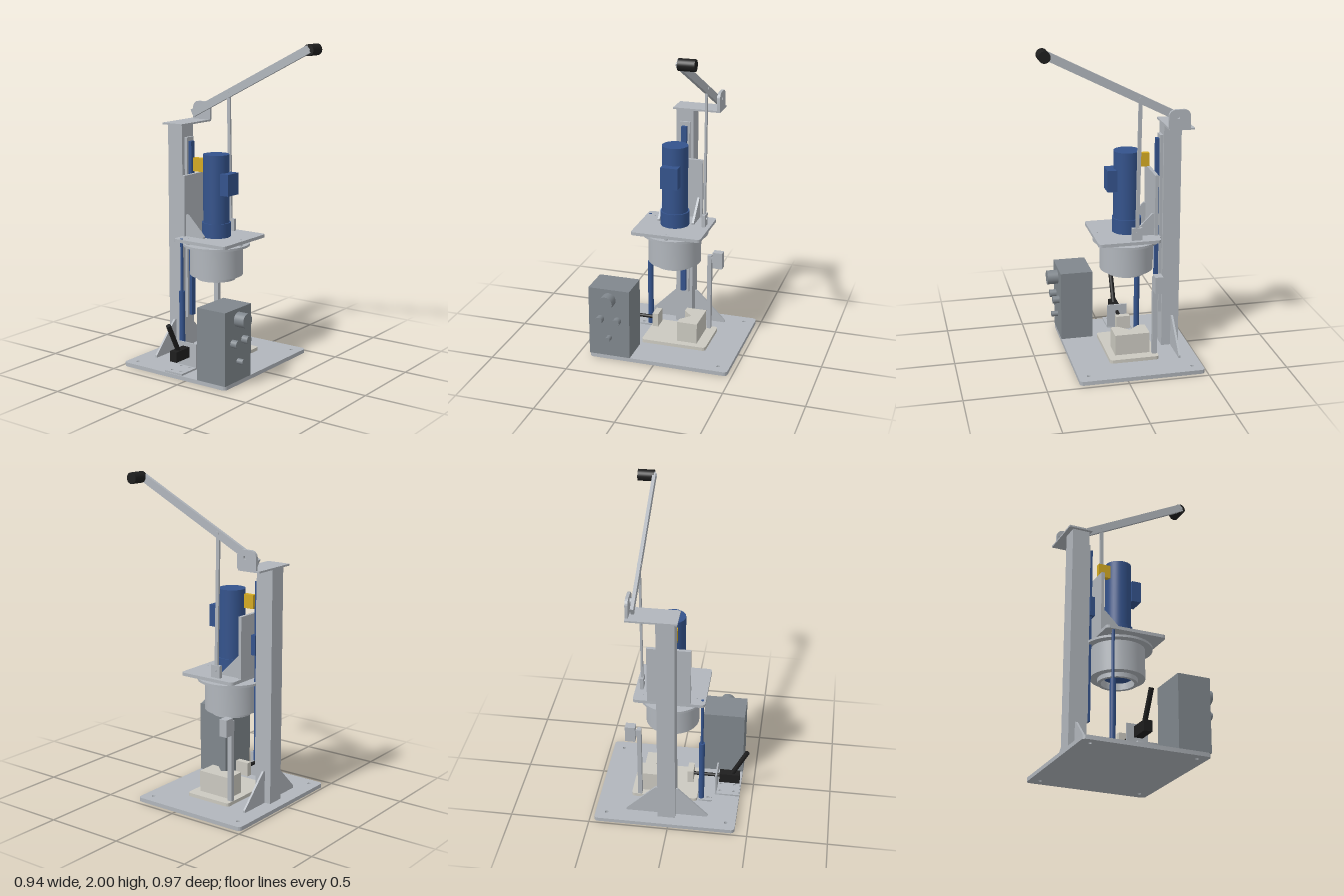
import * as THREE from 'three';
import { toCreasedNormals } from 'three/addons/utils/BufferGeometryUtils.js';

const mat = (name, color) => {
  const m = new THREE.MeshStandardMaterial({ color });
  m.name = name;
  return m;
};

export function createModel() {
  const steel = mat('steel grey', 0xb1b6bc), dark = mat('enclosure grey', 0x80878d), blue = mat('blue', 0x34538c);
  const yellow = mat('yellow', 0xd4aa22), black = mat('black', 0x1e1e1e), cream = mat('cream', 0xcbc9c0);
  const model = new THREE.Group();

  const add = (name, geometry, material) => {
    const m = new THREE.Mesh(geometry, material);
    m.name = name;
    model.add(m);
    return m;
  };
  // box from its limits
  const box = (name, material, x0, x1, y0, y1, z0, z1) => {
    const m = add(name, new THREE.BoxGeometry(x1 - x0, y1 - y0, z1 - z0), material);
    m.position.set((x0 + x1) / 2, (y0 + y1) / 2, (z0 + z1) / 2);
    return m;
  };
  // cylinder between two points
  const rod = (name, material, a, b, r, sides = 32) => {
    const p = new THREE.Vector3(...a), q = new THREE.Vector3(...b), d = q.clone().sub(p);
    const m = add(name, new THREE.CylinderGeometry(r, r, d.length(), sides), material);
    m.position.copy(p).add(q).multiplyScalar(0.5);
    m.quaternion.setFromUnitVectors(new THREE.Vector3(0, 1, 0), d.normalize());
    return m;
  };
  const addHoles = (shape, holes) => holes.forEach(([x, y, r]) => {
    const p = new THREE.Path();
    p.absarc(x, y, r, 0, Math.PI * 2, true);
    shape.holes.push(p);
  });
  const extrude = (shape, depth) => toCreasedNormals(
    new THREE.ExtrudeGeometry(shape, { depth, bevelEnabled: false, curveSegments: 8 }), 0.6);
  // horizontal plate with rounded corners and holes given as [x, z, r]
  const plate = (name, material, x0, x1, y0, y1, z0, z1, r, holes = []) => {
    const s = new THREE.Shape(), a = -z1, b = -z0, h = Math.PI / 2;
    s.absarc(x1 - r, a + r, r, -h, 0, false);
    s.absarc(x1 - r, b - r, r, 0, h, false);
    s.absarc(x0 + r, b - r, r, h, 2 * h, false);
    s.absarc(x0 + r, a + r, r, 2 * h, 3 * h, false);
    addHoles(s, holes.map(([x, z, q]) => [x, -z, q]));
    const m = add(name, extrude(s, y1 - y0).rotateX(-h), material);
    m.position.y = y0;
    return m;
  };
  // profile given as [z, y], thick along x
  const sidePlate = (name, material, shape, x0, x1) => {
    const m = add(name, extrude(shape, x1 - x0).rotateY(Math.PI / 2), material);
    m.position.x = x0;
    return m;
  };
  const polygon = pts => new THREE.Shape(pts.map(p => new THREE.Vector2(...p)));
  const CX = 0.02, CZ = -0.09; // spindle axis

  // Base and column
  plate('basePlate', steel, -0.42, 0.47, 0, 0.025, -0.485, 0.295, 0.025,
    [[-0.36, -0.42, 0.011], [0.4, -0.42, 0.011], [0.4, 0.23, 0.011], [-0.36, 0.23, 0.011]]);
  box('column', steel, -0.038, 0.072, 0.025, 1.487, -0.42, -0.31);
  box('columnTopPlate', steel, -0.058, 0.245, 1.485, 1.496, -0.45, -0.298);
  for (const s of [-1, 1]) {
    const g = polygon([[CX + s * 0.055, 0.025], [CX + s * 0.258, 0.025], [CX + s * 0.258, 0.04], [CX + s * 0.07, 0.23], [CX + s * 0.055, 0.23]]);
    add('columnGusset', extrude(g, 0.013), steel).position.z = -0.381;
  }

  // Linear guide on the column
  box('railBacking', steel, -0.013, 0.053, 0.25, 1.41, -0.31, -0.292);
  box('guideRail', blue, 0.003, 0.037, 0.265, 1.385, -0.292, -0.27);
  box('guideSlider', blue, -0.015, 0.055, 0.935, 1.06, -0.288, -0.257);

  // Carriage
  plate('carriagePlate', steel, -0.2, 0.245, 0.785, 0.805, -0.258, 0.13, 0.022);
  box('carriageBackPlate', steel, -0.112, 0.155, 0.805, 1.187, -0.258, -0.237);
  for (const x of [-0.091, 0.133]) {
    sidePlate('carriageGusset', steel, polygon([[0.1, 0.805], [0.237, 0.805], [0.237, 0.942], [0.225, 0.942], [0.1, 0.818]]), x - 0.007, x + 0.007);
  }
  for (const [x, z] of [[-0.143, -0.19], [0.187, -0.19], [0.02, 0.095]]) {
    rod('spacer', steel, [x, 0.76, z], [x, 0.785, z], 0.011, 16);
    rod('spacerScrew', steel, [x, 0.8, z], [x, 0.807, z], 0.005, 12);
  }

  // Motor
  rod('motorBody', blue, [CX, 0.89, CZ], [CX, 1.32, CZ], 0.081, 48);
  rod('motorFlange', blue, [CX, 0.805, CZ], [CX, 0.895, CZ], 0.09, 48);
  rod('motorCoupling', blue, [CX, 0.76, CZ], [CX, 0.79, CZ], 0.054);
  box('terminalBox', blue, -0.035, 0.075, 1.075, 1.21, -0.02, 0.04);
  box('yellowSensor', yellow, -0.023, 0.008, 1.205, 1.29, -0.237, -0.16);

  // Drum housing, open underneath, with a rotor inside
  rod('drumFlange', steel, [CX, 0.75, CZ], [CX, 0.765, CZ], 0.211, 64);
  const profile = [[0, 0.64], [0.1, 0.64], [0.1, 0.535], [0.122, 0.535], [0.122, 0.563], [0.166, 0.563], [0.166, 0.752], [0, 0.752]];
  add('drum', toCreasedNormals(new THREE.LatheGeometry(profile.map(p => new THREE.Vector2(...p)), 64), 0.6), steel)
    .position.set(CX, 0, CZ);
  rod('rotor', blue, [CX, 0.57, CZ], [CX, 0.64, CZ], 0.085, 48);

  // Lever, its bracket and link
  const ear = new THREE.Shape();
  ear.moveTo(0.292, 1.496);
  ear.lineTo(0.425, 1.496);
  ear.absarc(0.385, 1.57, 0.04, 0, Math.PI / 2, false);
  ear.absarc(0.332, 1.57, 0.04, Math.PI / 2, Math.PI, false);
  addHoles(ear, [[0.347, 1.565, 0.011]]);
  sidePlate('leverBracket', steel, ear, 0.227, 0.245);
  const lever = box('lever', steel, 0.195, 0.215, -0.025, 0.025, -0.485, 0.485);
  lever.position.set(0.205, 1.752, 0.022);
  lever.rotation.x = -0.47;
  rod('pivotSleeve', steel, [0.21, 1.565, -0.347], [0.23, 1.565, -0.347], 0.018, 20);
  rod('leverGrip', black, [0.205, 1.965, 0.45], [0.305, 1.965, 0.45], 0.035);
  rod('gripBolt', steel, [0.192, 1.965, 0.45], [0.21, 1.965, 0.45], 0.012, 16);
  rod('linkPin', steel, [0.193, 1.68, -0.128], [0.219, 1.68, -0.128], 0.009, 16);
  const link = box('linkBar', steel, 0.199, 0.212, 0, 0.82, -0.011, 0.011);
  link.position.set(0.206, 1.27, -0.121);
  link.rotation.x = -0.018;
  box('linkClevis', steel, 0.195, 0.217, 0.805, 0.882, -0.145, -0.08);
  rod('clevisPin', steel, [0.19, 0.85, -0.113], [0.222, 0.85, -0.113], 0.008, 16);

  // Gas strut
  plate('strutFoot', steel, -0.247, -0.165, 0.025, 0.036, -0.235, -0.182, 0.003, [[-0.225, -0.208, 0.011]]);
  rod('strutCylinder', blue, [-0.18, 0.036, -0.208], [-0.18, 0.475, -0.208], 0.018);
  rod('strutRod', blue, [-0.18, 0.47, -0.208], [-0.18, 0.807, -0.208], 0.009, 20);

  // Control cabinet with knobs
  box('controlCabinet', dark, -0.42, -0.155, 0.025, 0.475, 0.09, 0.295);
  for (const [x, y, r, z] of [[-0.287, 0.408, 0.045, 0.363], [-0.344, 0.272, 0.024, 0.337], [-0.232, 0.272, 0.024, 0.337], [-0.287, 0.15, 0.017, 0.337]]) {
    rod('controlKnob', dark, [x, y, 0.29], [x, y, z], r);
  }

  // Toggle clamp
  plate('clampBase', steel, -0.415, -0.262, 0.025, 0.036, -0.162, -0.03, 0.003,
    [-0.382, -0.292].flatMap(x => [-0.13, -0.062].map(z => [x, z, 0.009])));
  box('clampUpright', steel, -0.272, -0.262, 0.03, 0.185, -0.162, -0.03);
  box('clampBody', black, -0.415, -0.285, 0.1, 0.165, -0.122, -0.07);
  rod('clampRod', black, [-0.29, 0.135, -0.096], [-0.115, 0.135, -0.096], 0.011, 20);
  rod('clampHandle', black, [-0.36, 0.15, -0.096], [-0.458, 0.34, -0.096], 0.015, 20);

  // Workpiece fixture
  plate('fixturePlate', cream, -0.155, 0.267, 0.025, 0.047, -0.245, 0.065, 0.02);
  const jaw = polygon([[0.07, -0.02], [0.2, -0.02], [0.2, 0.2], [0.07, 0.2], [0.07, 0.155], [0.13, 0.09], [0.07, 0.025]]);
  add('fixedJaw', extrude(jaw, 0.133).rotateX(-Math.PI / 2), cream).position.y = 0.047;
  box('movingJaw', cream, -0.118, -0.08, 0.092, 0.18, -0.14, -0.05);

  // Limit switch on its post
  box('switchPost', steel, 0.2, 0.226, 0.025, 0.56, -0.242, -0.21);
  box('switchBracket', steel, 0.22, 0.24, 0.51, 0.55, -0.236, -0.216);
  box('limitSwitch', steel, 0.235, 0.298, 0.478, 0.585, -0.257, -0.207);

  return model;
}
